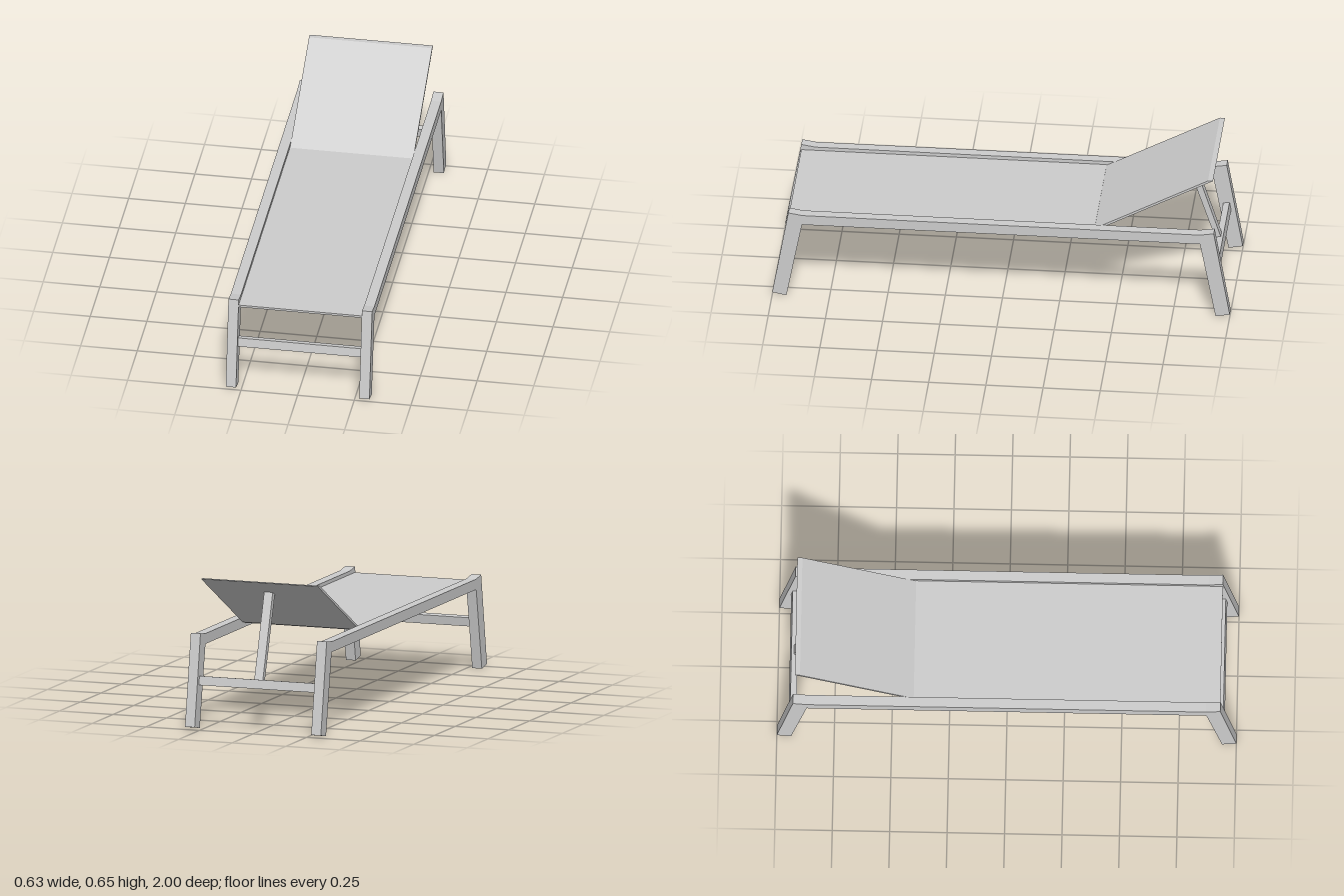
import * as THREE from 'three';

const material = new THREE.MeshStandardMaterial({ color: 0xcccccc, flatShading: true });

// Extrude a side profile of [z, y] points across x from x0 to x1
function profilePart(name, points, x0, x1) {
  const shape = new THREE.Shape(points.map(([z, y]) => new THREE.Vector2(-z, y)));
  const geometry = new THREE.ExtrudeGeometry(shape, { depth: x1 - x0, bevelEnabled: false });
  geometry.rotateY(Math.PI / 2);
  geometry.translate(x0, 0, 0);
  const mesh = new THREE.Mesh(geometry, material);
  mesh.name = name;
  return mesh;
}

export function createModel() {
  const model = new THREE.Group();
  model.name = 'sunLounger';
  const inner = 0.272, outer = 0.317;

  // Side frames: splayed legs and long rail in one bent outline
  const half = [[0.87, 0.36], [0.938, 0], [1, 0.012], [0.93, 0.416], [0.868, 0.406]];
  const outline = [...half, ...half.map(([z, y]) => [-z, y]).reverse()];
  model.add(profilePart('leftSideFrame', outline, inner, outer));
  model.add(profilePart('rightSideFrame', outline, -outer, -inner));

  // Seat sling, set slightly below the rail tops
  model.add(profilePart('seat', [[0.93, 0.38], [0.93, 0.39], [-0.405, 0.39], [-0.405, 0.38]], -inner, inner));

  // Raised backrest panel with level-cut ends
  model.add(profilePart('backrest', [[-0.4, 0.385], [-0.9, 0.655], [-0.922, 0.655], [-0.422, 0.385]], -inner, inner));

  // Crossbars between the legs, tilted with them
  for (const side of [1, -1]) {
    const bar = new THREE.Mesh(new THREE.BoxGeometry(2 * inner, 0.04, 0.028), material);
    bar.name = side > 0 ? 'frontCrossbar' : 'backCrossbar';
    bar.position.set(0, 0.208, side * 0.932);
    bar.rotation.x = -side * 0.17;
    model.add(bar);
  }

  // Strut from the back crossbar up to the backrest
  model.add(profilePart('backrestStrut',
    [[-0.908, 0.222], [-0.934, 0.222], [-0.812, 0.6], [-0.786, 0.588]], -0.02, 0.02));

  return model;
}
